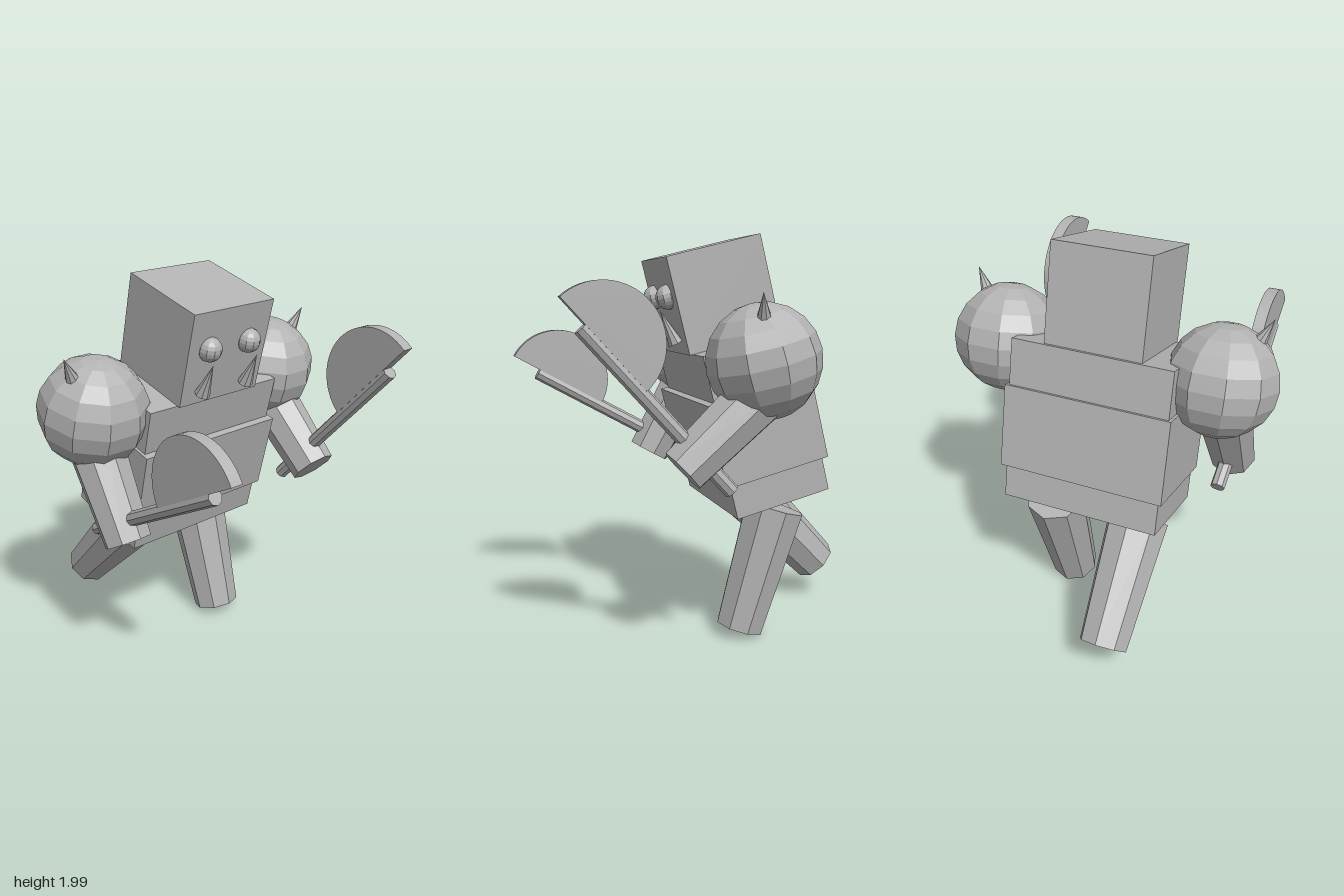
import * as THREE from 'three';

export function createModel() {
  const model = new THREE.Group();
  model.name = 'robotWarrior';
  const grey = new THREE.MeshStandardMaterial({ color: 0xb2b2b2 });
  grey.name = 'grey';

  // Adds a faceted mesh
  function add(parent, name, geometry, x = 0, y = 0, z = 0) {
    const flat = geometry.index ? geometry.toNonIndexed() : geometry;
    flat.computeVertexNormals();
    const mesh = new THREE.Mesh(flat, grey);
    mesh.name = name;
    mesh.position.set(x, y, z);
    parent.add(mesh);
    return mesh;
  }
  function joint(name, x, y, z, angle) {
    const group = new THREE.Group();
    group.name = name;
    group.position.set(x, y, z);
    group.rotation.x = angle;
    model.add(group);
    return group;
  }
  // Cone from a base point to a tip
  function spike(name, base, tip, radius, sides) {
    const a = new THREE.Vector3(...base), b = new THREE.Vector3(...tip);
    const dir = b.clone().sub(a);
    const mid = a.add(b).multiplyScalar(0.5);
    const mesh = add(model, name, new THREE.ConeGeometry(radius, dir.length(), sides), mid.x, mid.y, mid.z);
    mesh.quaternion.setFromUnitVectors(new THREE.Vector3(0, 1, 0), dir.normalize());
  }

  // Forward-leaning body: name, width, depth, bottom, top, z
  const body = joint('body', 0, 0, 0, 0.2425);
  const blocks = [
    ['hips', 0.79, 0.489, 0.611, 0.777, -0.475],
    ['torso', 0.83, 0.534, 0.777, 1.186, -0.476],
    ['chest', 0.80, 0.482, 1.186, 1.412, -0.487],
    ['head', 0.485, 0.48, 1.412, 1.885, -0.47],
  ];
  for (const [name, w, d, y0, y1, z] of blocks) {
    add(body, name, new THREE.BoxGeometry(w, y1 - y0, d), 0, (y0 + y1) / 2, z);
  }

  // Half-round axe blade, flat edge along z and bulging up
  const half = new THREE.Shape();
  half.absarc(0, 0, 0.27, 0, Math.PI, false);
  half.closePath();
  const blade = new THREE.ExtrudeGeometry(half, { depth: 0.06, bevelEnabled: false, curveSegments: 16 });
  blade.translate(0, 0, -0.03).rotateY(-Math.PI / 2);

  const sides = [
    { side: 1, label: 'left', arm: -0.835, leg: -0.292 },
    { side: -1, label: 'right', arm: -0.512, leg: 0.775 },
  ];
  for (const { side, label, arm, leg } of sides) {
    // Face
    add(body, label + 'Eye', new THREE.SphereGeometry(0.06, 10, 10), side * 0.121, 1.696, -0.225);
    spike(label + 'Tusk', [side * 0.137, 1.48, 0.155], [side * 0.137, 1.637, 0.233], 0.038, 8);

    // Shoulder ball and spike
    add(body, label + 'Shoulder', new THREE.SphereGeometry(0.267, 10, 10), side * 0.55, 1.339, -0.475);
    spike(label + 'ShoulderSpike', [side * 0.68, 1.59, -0.085], [side * 0.745, 1.72, -0.055], 0.04, 8);

    // Arm holding an axe
    const armJoint = joint(label + 'ArmJoint', side * 0.565, 1.286, -0.137, arm);
    add(armJoint, label + 'Arm', new THREE.CylinderGeometry(0.138, 0.115, 0.52, 8), 0, -0.26, 0);
    const handle = add(armJoint, label + 'AxeHandle', new THREE.CylinderGeometry(0.036, 0.036, 1, 8), 0, -0.42, 0.265);
    handle.rotation.x = Math.PI / 2;
    add(armJoint, label + 'AxeBlade', blade, 0, -0.40, 0.65);

    // Tapered leg
    const legJoint = joint(label + 'LegJoint', side * 0.228, 0.655, -0.333, leg);
    add(legJoint, label + 'Leg', new THREE.CylinderGeometry(0.155, 0.122, 0.64, 8), 0, -0.32, 0);
  }
  return model;
}
